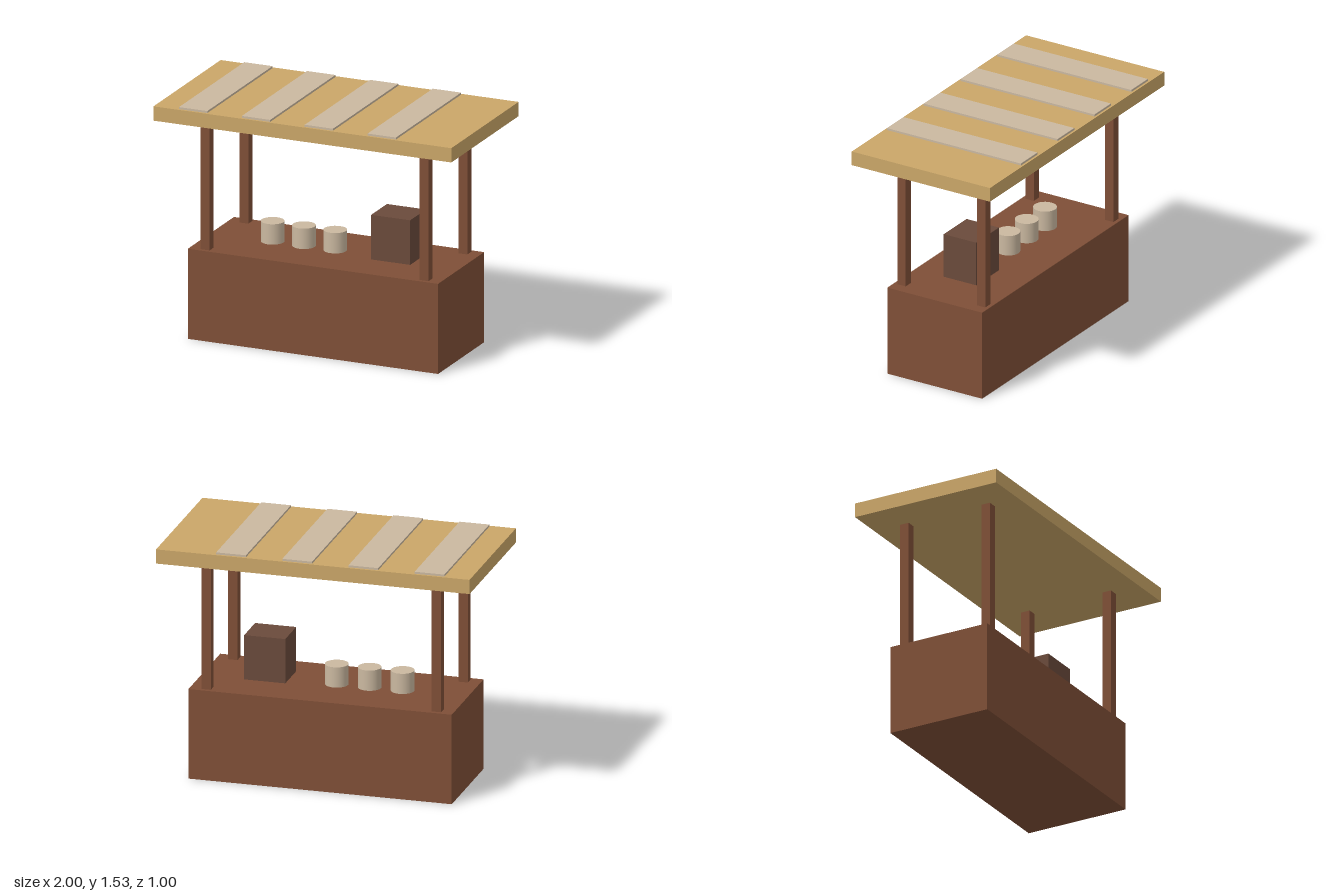
import * as THREE from 'three';

const material = (name, color) => {
  const m = new THREE.MeshStandardMaterial({ color });
  m.name = name;
  return m;
};

export function createModel() {
  const stall = new THREE.Group();
  stall.name = 'marketStall';

  const wood = material('brownWood', 0x7f4f37);
  const darkWood = material('darkWood', 0x6a4a3b);
  const tan = material('tanRoof', 0xcaa668);
  const cream = material('cream', 0xcab8a0);

  const add = (name, geometry, mat, x, y, z) => {
    const mesh = new THREE.Mesh(geometry, mat);
    mesh.name = name;
    mesh.position.set(x, y, z);
    stall.add(mesh);
  };
  // Box given by its size, centre x and z, and bottom height
  const box = (name, mat, w, h, d, x, bottom, z) =>
    add(name, new THREE.BoxGeometry(w, h, d), mat, x, bottom + h / 2, z);

  // Counter and the four posts
  box('counter', wood, 1.68, 0.58, 0.686, 0, 0, 0);
  for (const x of [-0.735, 0.735]) {
    for (const z of [-0.288, 0.288]) box('post', wood, 0.06, 0.85, 0.06, x, 0.58, z);
  }

  // Flat roof with four raised stripes
  box('roof', tan, 2, 0.092, 1, 0, 1.43, 0);
  for (let i = 0; i < 4; i++) {
    box('roofStripe', cream, 0.19, 0.013, 0.97, -0.74 + i * 0.422, 1.522, 0);
  }

  // Row of three cups
  const cup = new THREE.CylinderGeometry(0.073, 0.073, 0.131, 24);
  for (let i = 0; i < 3; i++) add('cup', cup, cream, -0.425 + i * 0.21, 0.649, 0);

  // Crate held just above the counter
  box('crate', darkWood, 0.262, 0.287, 0.235, 0.42, 0.596, 0);

  return stall;
}
